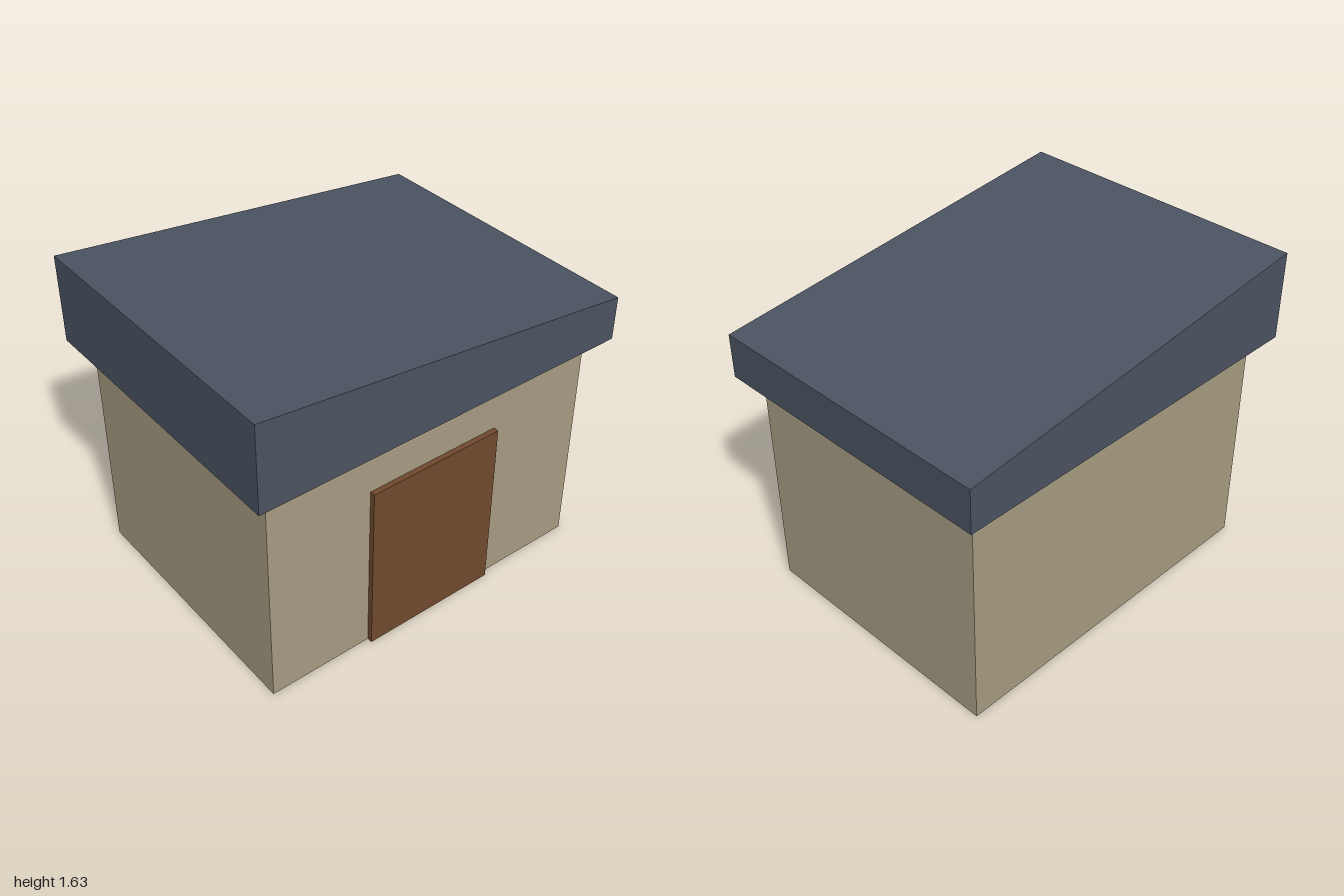
import * as THREE from 'three';

export function createModel() {
  const material = (name, color) => {
    const m = new THREE.MeshStandardMaterial({ color });
    m.name = name;
    return m;
  };
  const wallTan = material('wallTan', 0xa79c82);
  const roofSlate = material('roofSlate', 0x4b5462);
  const doorBrown = material('doorBrown', 0x704a2d);

  const model = new THREE.Group();
  model.name = 'shed';
  const add = (name, geometry, mat, x, y, z) => {
    const mesh = new THREE.Mesh(geometry, mat);
    mesh.name = name;
    mesh.position.set(x, y, z);
    model.add(mesh);
  };

  const wallTop = 1.185, wallDepth = 1.364, roofDepth = 1.545;

  // Walls: one solid block
  add('walls', new THREE.BoxGeometry(1.818, wallTop, wallDepth), wallTan, 0, wallTop / 2, 0);

  // Door: a slab standing proud of the front wall
  const doorHeight = 0.91, doorThickness = 0.027;
  add('door', new THREE.BoxGeometry(0.727, doorHeight, doorThickness), doorBrown,
    0, doorHeight / 2, wallDepth / 2 + doorThickness / 2);

  // Roof: overhanging wedge, high on the -x side and low on the +x side
  const profile = new THREE.Shape();
  profile.moveTo(-1, 0);
  profile.lineTo(1, 0);
  profile.lineTo(1, 0.225);
  profile.lineTo(-1, 0.45);
  profile.closePath();
  const roof = new THREE.ExtrudeGeometry(profile, { depth: roofDepth, bevelEnabled: false });
  add('roof', roof, roofSlate, 0, wallTop, -roofDepth / 2);

  return model;
}
